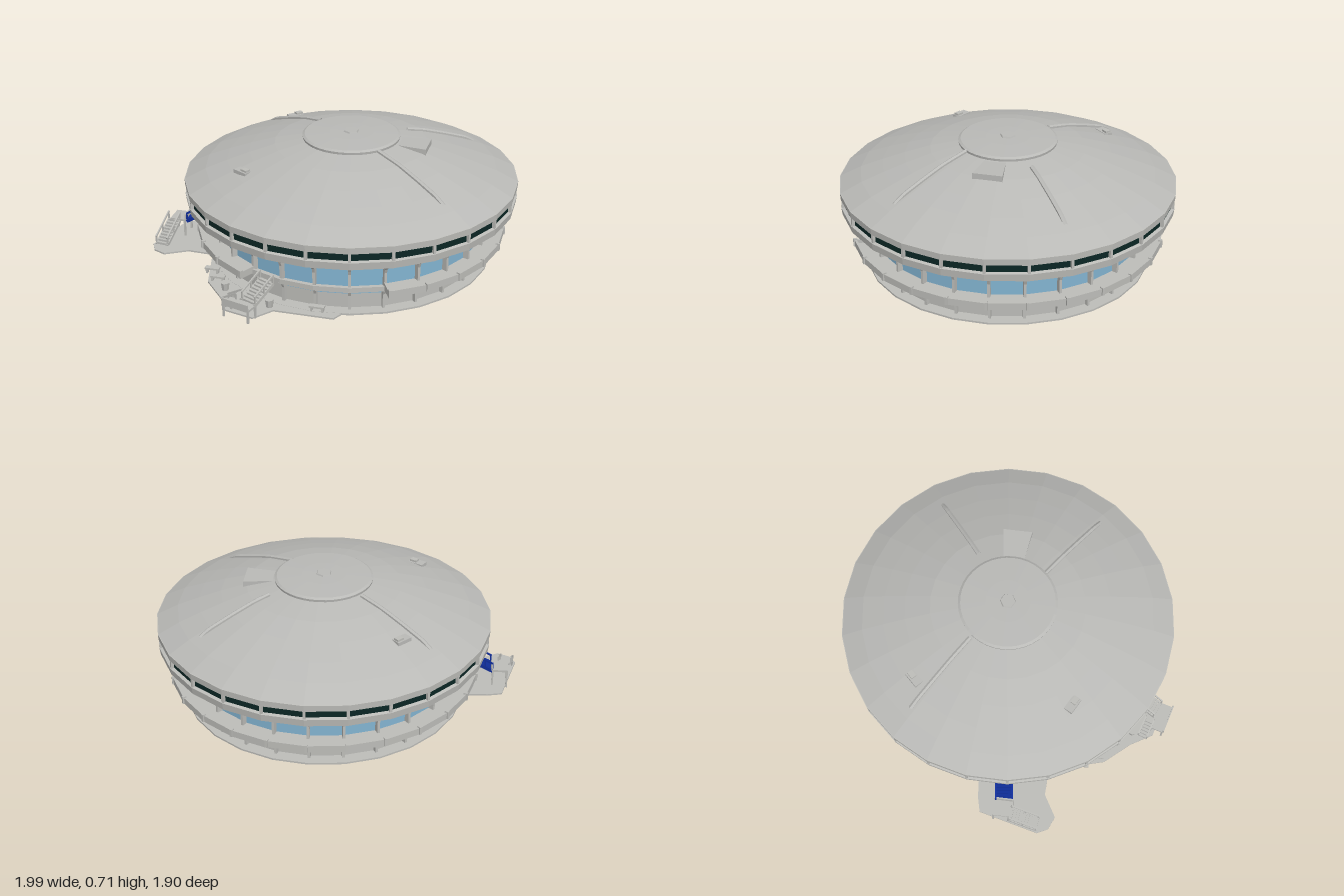
import * as THREE from 'three';

const N = 26, STEP = (Math.PI * 2) / N;
const CX = 0.08, CZ = -0.025;
const mat = (name, color, opts = {}) => {
  const m = new THREE.MeshStandardMaterial({ color, flatShading: true, side: THREE.DoubleSide, ...opts });
  m.name = name;
  return m;
};

// roof profile, radius and height, from the eave inwards
const DOME = [[0.915, 0.455], [0.8, 0.512], [0.68, 0.557], [0.56, 0.598], [0.42, 0.64], [0.25, 0.672]];
function domeY(r) {
  for (let i = 0; i < DOME.length - 1; i++) {
    const [r0, y0] = DOME[i], [r1, y1] = DOME[i + 1];
    if (r <= r0 && r >= r1) return y0 + ((y1 - y0) * (r0 - r)) / (r0 - r1);
  }
  return 0.675;
}

export function createModel() {
  const concrete = mat('concrete', 0xbcbcb8);
  const roofGrey = mat('roof grey', 0xb9b9b6);
  const glass = mat('pale blue glass', 0x82b3d0);
  const dark = mat('dark glass', 0x0b2624);
  const blue = mat('deep blue', 0x0f2c96);

  const root = new THREE.Group();
  const hall = new THREE.Group();
  hall.name = 'hall';
  hall.position.set(CX, 0, CZ);
  root.add(hall);

  const add = (parent, name, geo, m, x = 0, y = 0, z = 0) => {
    const mesh = new THREE.Mesh(geo, m);
    mesh.name = name;
    mesh.position.set(x, y, z);
    parent.add(mesh);
    return mesh;
  };
  const ring = (name, pts, m, first = 0, count = N) =>
    add(hall, name, new THREE.LatheGeometry(pts.map(p => new THREE.Vector2(...p)), count, first * STEP, count * STEP), m);
  const box = (parent, name, w, h, d, m, x, y, z) => add(parent, name, new THREE.BoxGeometry(w, h, d), m, x, y, z);

  // ground slab and lower storey
  ring('baseSlab', [[0, 0], [0.785, 0], [0.785, 0.01], [0, 0.01]], concrete);
  ring('lowerWall', [[0.72, 0.01], [0.72, 0.09]], concrete);
  ring('lowerWindows', [[0.72, 0.09], [0.72, 0.135]], glass);

  // balcony: wide round the back and sides, narrow at the front
  const deck = (r, y0, y1) => [[0.68, y0], [r, y0], [r, y1], [r - 0.012, y1], [r - 0.012, y0 + 0.018], [0.68, y0 + 0.018]];
  ring('balcony', deck(0.855, 0.13, 0.168), concrete, 2, N - 4);
  ring('frontBalcony', deck(0.775, 0.125, 0.153), concrete, -2, 4);

  // main glazing and flared soffit
  ring('upperWindows', [[0.735, 0.14], [0.735, 0.25], [0.76, 0.268]], glass);
  ring('soffit', [[0.76, 0.268], [0.89, 0.33]], concrete);

  // rim: two bands with a recessed dark window strip
  ring('lowerRim', [[0.87, 0.33], [0.91, 0.33], [0.915, 0.37], [0.895, 0.375]], concrete);
  ring('rimWindows', [[0.897, 0.37], [0.897, 0.425]], dark);
  ring('upperRim', [[0.895, 0.42], [0.915, 0.42], [0.917, 0.455], [0.905, 0.458]], concrete);

  // roof shell and its cap
  ring('roof', DOME, roofGrey);
  add(hall, 'roofCap', new THREE.LatheGeometry(
    [[0.265, 0.662], [0.268, 0.682], [0.255, 0.69], [0.12, 0.697], [0, 0.699]].map(p => new THREE.Vector2(...p)), 40), roofGrey);
  add(hall, 'capHub', new THREE.CylinderGeometry(0.04, 0.045, 0.01, 6), roofGrey, 0, 0.701, 0);

  // ribs, posts and mullions at every corner
  const profile = pts => {
    const g = new THREE.ExtrudeGeometry(new THREE.Shape(pts.map(p => new THREE.Vector2(...p))), { depth: 0.014, bevelEnabled: false });
    return g.translate(0, 0, -0.007);
  };
  const upperRib = profile([[0.725, 0.145], [0.765, 0.145], [0.765, 0.225], [0.775, 0.25], [0.8, 0.272], [0.9, 0.325], [0.9, 0.335], [0.86, 0.33], [0.73, 0.262]]);
  const lowerRib = profile([[0.71, 0.01], [0.742, 0.01], [0.742, 0.09], [0.752, 0.112], [0.775, 0.13], [0.71, 0.135]]);
  const mullion = profile([[0.885, 0.372], [0.912, 0.372], [0.912, 0.422], [0.885, 0.422]]);
  const parapetPost = profile([[0.84, 0.128], [0.862, 0.132], [0.862, 0.175], [0.84, 0.175]]);
  for (let i = 0; i < N; i++) {
    const turn = i * STEP - Math.PI / 2;
    for (const [name, geo] of [['upperRib', upperRib], ['lowerRib', lowerRib], ['rimMullion', mullion]])
      add(hall, name, geo, concrete).rotation.y = turn;
    if (i >= 2 && i <= N - 2) add(hall, 'parapetPost', parapetPost, concrete).rotation.y = turn;
  }
  // closing walls where the wide balcony stops
  for (const i of [2, N - 2])
    add(hall, 'balconyEnd', profile([[0.7, 0.13], [0.855, 0.13], [0.855, 0.168], [0.7, 0.168]]), concrete).rotation.y = i * STEP - Math.PI / 2;

  // tapered ridges running down the roof
  for (const [x0, z0, x1, z1] of [[0.35, -0.22, 0.68, -0.47], [-0.14, -0.2, -0.52, -0.47], [0.27, 0.15, 0.68, 0.42]]) {
    const pts = [];
    for (let k = 0; k <= 8; k++) {
      const x = x0 + ((x1 - x0) * k) / 8 - CX, z = z0 + ((z1 - z0) * k) / 8 - CZ;
      pts.push(new THREE.Vector3(x, domeY(Math.hypot(x, z)) + 0.003 - (k === 8 ? 0.012 : 0), z));
    }
    add(hall, 'roofRidge', new THREE.TubeGeometry(new THREE.CatmullRomCurve3(pts), 16, 0.013, 6), roofGrey);
  }

  // flat-topped roof hatch beside the cap
  const hatchShape = new THREE.Shape([[0.25, -0.055], [0.43, -0.08], [0.43, 0.08], [0.25, 0.055]].map(p => new THREE.Vector2(...p)));
  const hatch = add(hall, 'roofHatch', new THREE.ExtrudeGeometry(hatchShape, { depth: 0.045, bevelEnabled: false }), roofGrey, 0, 0.622, 0);
  hatch.rotation.x = -Math.PI / 2;

  // small roof vents
  for (const [x, z, a] of [[-0.37, -0.47, 0.8], [-0.41, 0.38, -0.5]]) {
    const vent = new THREE.Group();
    vent.name = 'roofVent';
    vent.position.set(x - CX, domeY(Math.hypot(x - CX, z - CZ)), z - CZ);
    vent.rotation.y = a;
    hall.add(vent);
    box(vent, 'ventBase', 0.09, 0.02, 0.05, roofGrey, 0, 0, 0);
    box(vent, 'ventHood', 0.04, 0.03, 0.03, concrete, 0.02, 0.006, 0);
  }

  // a flight of steps with sloping handrails, from a up to b
  function stair(name, a, b, width, steps, m) {
    const g = new THREE.Group();
    const dx = b[0] - a[0], dz = b[2] - a[2], run = Math.hypot(dx, dz), rise = b[1] - a[1];
    g.name = name;
    g.position.set(...a);
    g.rotation.y = Math.atan2(-dz, dx);
    root.add(g);
    for (let i = 0; i < steps; i++)
      box(g, 'step', (run / steps) * 0.95, 0.012, width, m, (run * (i + 0.5)) / steps, (rise * (i + 0.6)) / steps, 0);
    for (const s of [-1, 1]) {
      for (const [part, h, y] of [['stringer', 0.018, -0.004], ['handrail', 0.009, 0.045]])
        box(g, part, Math.hypot(run, rise), h, 0.008, m, run / 2, rise / 2 + y, (s * width) / 2).rotation.z = Math.atan2(rise, run);
      for (const t of [0.03, 0.5, 0.97])
        box(g, 'railPost', 0.008, 0.048, 0.008, m, run * t, rise * t + 0.022, (s * width) / 2);
    }
  }
  // a raised landing on legs with a low parapet
  function landing(name, x, y, z, w, d, turn) {
    const g = new THREE.Group();
    g.name = name;
    g.position.set(x, y, z);
    g.rotation.y = turn;
    root.add(g);
    box(g, 'floor', w, 0.012, d, concrete, 0, 0, 0);
    box(g, 'parapet', w, 0.035, 0.008, concrete, 0, 0.02, d / 2);
    for (const sx of [-1, 1]) for (const sz of [-1, 1])
      box(g, 'leg', 0.01, y, 0.01, concrete, (sx * (w - 0.01)) / 2, -y / 2, (sz * (d - 0.01)) / 2);
  }

  // side terrace with its stair, landing and blue bridge
  const terrace = new THREE.Shape([[-0.6, 0.1], [-0.84, 0.08], [-0.92, 0.06], [-1, -0.27], [-0.97, -0.33], [-0.9, -0.36], [-0.78, -0.29], [-0.55, -0.3]].map(p => new THREE.Vector2(...p)));
  add(root, 'sideTerrace', new THREE.ExtrudeGeometry(terrace, { depth: 0.009, bevelEnabled: false }), concrete).rotation.x = -Math.PI / 2;
  stair('sideStair', [-0.95, 0.01, 0.27], [-0.93, 0.1, 0.11], 0.07, 9, concrete);
  landing('sideLanding', -0.905, 0.105, 0.07, 0.11, 0.09, Math.PI / 2);
  stair('blueStair', [-0.86, 0.1, 0.07], [-0.77, 0.15, 0.06], 0.09, 6, blue);
  const door = box(hall, 'blueDoor', 0.17, 0.1, 0.02, blue, -0.755, 0.198, 0.09);
  door.rotation.y = -Math.PI / 2 + 0.11;

  // front stair: side flight to a landing, then up to the balcony
  landing('frontLanding', -0.27, 0.07, 0.895, 0.16, 0.075, -0.28);
  stair('frontLowerStair', [-0.38, 0.01, 0.80], [-0.29, 0.065, 0.83], 0.05, 6, concrete);
  stair('frontUpperStair', [-0.23, 0.075, 0.87], [-0.17, 0.145, 0.74], 0.09, 8, concrete);

  // forecourt paving, benches and planters
  const court = new THREE.Shape([[-0.62, -0.35], [-0.55, -0.6], [-0.43, -0.74], [-0.36, -0.86], [-0.2, -0.9], [-0.12, -0.8], [0.2, -0.8], [0.3, -0.6]].map(p => new THREE.Vector2(...p)));
  add(root, 'forecourt', new THREE.ExtrudeGeometry(court, { depth: 0.009, bevelEnabled: false }), concrete).rotation.x = -Math.PI / 2;
  for (const [x, z] of [[-0.56, 0.5], [-0.5, 0.58], [0.1, 0.75]]) {
    box(root, 'benchSeat', 0.08, 0.01, 0.03, concrete, x, 0.035, z);
    for (const s of [-1, 1]) box(root, 'benchLeg', 0.01, 0.03, 0.025, concrete, x + s * 0.03, 0.02, z);
  }
  for (const [x, z] of [[-0.43, 0.66], [-0.15, 0.77], [-0.36, 0.74]])
    add(root, 'planter', new THREE.CylinderGeometry(0.025, 0.018, 0.045, 8), concrete, x, 0.03, z);

  return root;
}
